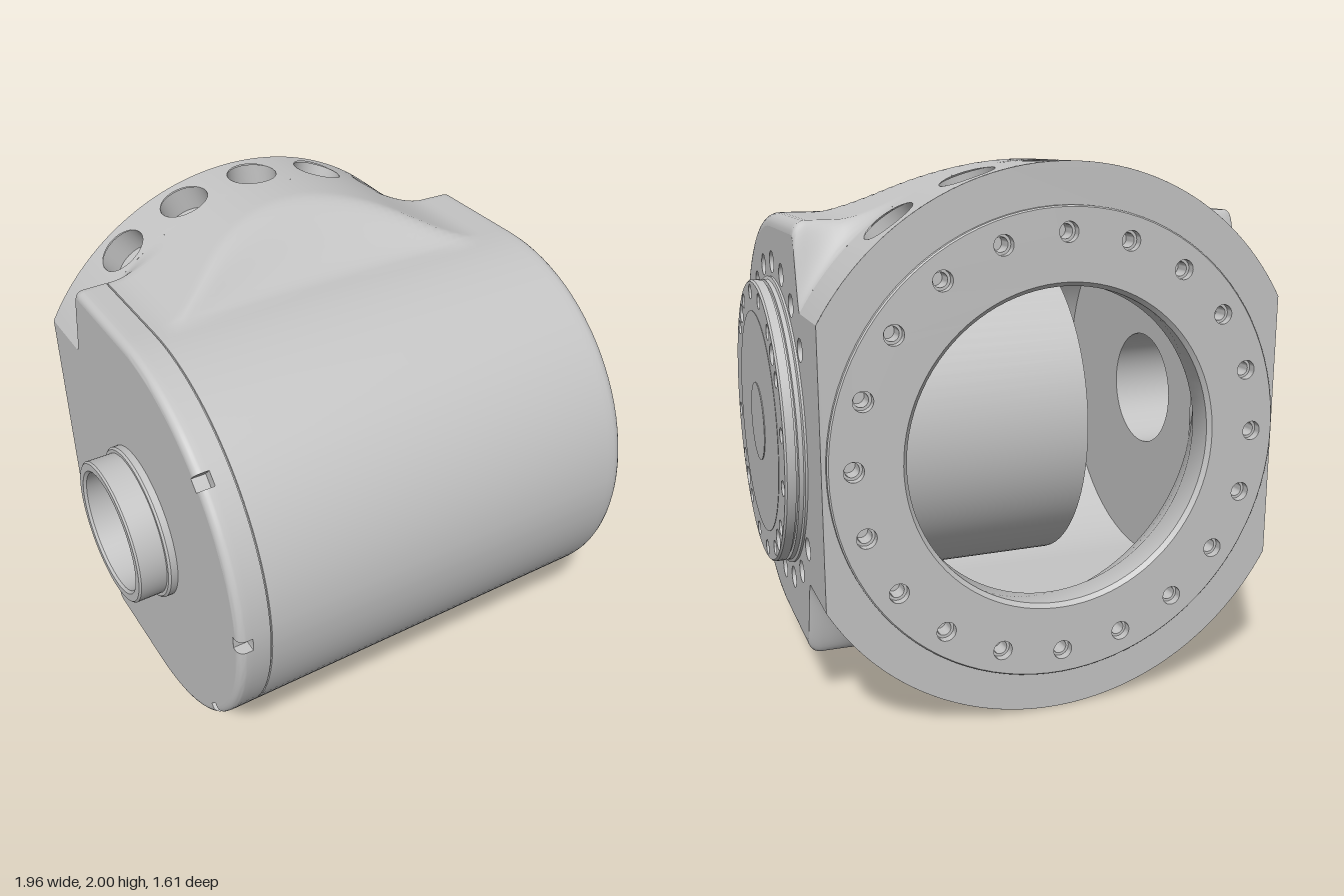
import * as THREE from 'three';
import { toCreasedNormals } from 'three/addons/utils/BufferGeometryUtils.js';

const X0 = -0.835, X1 = 0.9, CX = 0.03, R = 0.8;   // housing ends, flange axis, barrel radius
const Z_DROP = -0.43, Z_FLANGE = -0.52, Z_HOLE = -0.642, Z_BACK = -0.785, Z_RING = -0.805;
const RAD = Math.PI / 180;

const smooth = t => { t = Math.min(1, Math.max(0, t)); return t * t * (3 - 2 * t); };
const circ = x => Math.sqrt(1 - (x - CX) ** 2);

// Surface from a grid of points, fn(i, j) -> [x, y, z]
function grid(ni, nj, fn, crease = 0.6) {
  const pos = [], idx = [];
  for (let i = 0; i <= ni; i++) for (let j = 0; j <= nj; j++) pos.push(...fn(i, j));
  for (let i = 0; i < ni; i++) for (let j = 0; j < nj; j++) {
    const a = i * (nj + 1) + j, b = a + nj + 1;
    idx.push(a, b, a + 1, b, b + 1, a + 1);
  }
  const g = new THREE.BufferGeometry();
  g.setAttribute('position', new THREE.Float32BufferAttribute(pos, 3));
  g.setIndex(idx);
  return toCreasedNormals(g, crease);
}

// Turned part from [radius, height] points, axis along y
const lathe = (pts, seg = 96) =>
  toCreasedNormals(new THREE.LatheGeometry(pts.map(p => new THREE.Vector2(...p)), seg), 0.6);

// Counterbored hole lining, its mouth at height 0
const socket = (r, d, r2, d2) => lathe([[r, 0], [r, -d], [r2, -d], [r2, -d2], [0, -d2]], 24);

// Circle as [x, y] points
function ringPts(r, cx = 0, cy = 0) {
  const n = r > 0.2 ? 96 : 24;
  return Array.from({ length: n }, (_, i) =>
    [cx + r * Math.cos(i / n * Math.PI * 2), cy + r * Math.sin(i / n * Math.PI * 2)]);
}

// Flat face from [x, y] points with round holes [x, y, r]
function plate(pts, holes) {
  const vec = list => list.map(p => new THREE.Vector2(...p));
  const s = new THREE.Shape(vec(pts));
  for (const [x, y, r] of holes) s.holes.push(new THREE.Path(vec(ringPts(r, x, y))));
  return new THREE.ShapeGeometry(s);
}

// Half height of the housing behind the barrel axis: filleted hump ramp, then a drop to the round flange
function halfHeight(x, z, inset) {
  const b = R - inset, c = circ(x), k = 0.1;
  const m = Math.max(b, c) + Math.max(k - Math.abs(c - b), 0) ** 2 / (4 * k);
  const ramp = b + (m - b) * smooth(-z / Math.max(0.03, 0.37 * (m - b) / 0.2));
  return ramp + (c - ramp) * smooth((Z_DROP - z) / (Z_DROP - Z_FLANGE));
}

// Sample positions: z along the flat, angles round the barrel (with notch edges)
const zs = [];
for (let i = 0; i < 14; i++) zs.push(Z_FLANGE + (Z_DROP - Z_FLANGE) * i / 14);
for (let i = 0; i < 18; i++) zs.push(Z_DROP * (1 - i / 18));
const angles = [];
for (let i = 0; i <= 48; i++) angles.push(90 - i * 3.75);
for (const n of [45, 0, -45]) angles.push(n - 1.95, n - 1.9, n + 1.9, n + 1.95);
angles.sort((a, b) => b - a);

// Housing cross-section as [z, y] points, open at the back
function outline(x, inset) {
  const top = zs.map(z => [z, halfHeight(x, z, inset)]);
  const nose = angles.map(a => {
    const notch = x < -0.7807 && [45, 0, -45].some(n => Math.abs(a - n) < 1.92);
    const r = R - (notch ? 0.045 : inset);
    return [r * Math.cos(a * RAD), r * Math.sin(a * RAD)];
  });
  return [...top, ...nose, ...top.map(([z, y]) => [z, -y]).reverse()];
}

// Stations along x: rounded end, notch step, seam groove, barrel, rounded end
function stations() {
  const s = [], f = (r, i) => [r * (1 - Math.cos(i * Math.PI / 12)), r * (1 - Math.sin(i * Math.PI / 12))];
  for (let i = 0; i <= 6; i++) { const [d, n] = f(0.03, i); s.push([X0 + d, n]); }
  s.push([-0.781, 0], [-0.7805, 0], [-0.712, 0], [-0.711, 0.006], [-0.707, 0.006], [-0.706, 0]);
  for (let i = 0; i <= 48; i++) s.push([-0.68 + 1.5 * i / 48, 0]);
  for (let i = 6; i >= 0; i--) { const [d, n] = f(0.05, i); s.push([X1 - d, n]); }
  return s;
}

export function createModel() {
  const metal = new THREE.MeshStandardMaterial({ color: 0xc4c4c4, side: THREE.DoubleSide });
  metal.name = 'grey metal';
  const root = new THREE.Group();
  root.name = 'actuatorHousing';
  const model = new THREE.Group();
  model.name = 'housingAssembly';
  model.position.y = 1;
  root.add(model);
  const add = (name, geo, x = 0, y = 0, z = 0) => {
    const m = new THREE.Mesh(geo, metal);
    m.name = name;
    m.position.set(x, y, z);
    model.add(m);
    return m;
  };
  const alongX = g => g.rotateZ(-Math.PI / 2);
  const alongBack = g => g.rotateX(-Math.PI / 2);
  const faceX = g => g.rotateY(Math.PI / 2);       // local x becomes -z

  // Barrel body
  const st = stations(), loops = st.map(s => outline(...s));
  add('housingShell', grid(st.length - 1, loops[0].length - 1, (i, j) =>
    [st[i][0], loops[i][j][1], loops[i][j][0]], 0.8));

  // End faces
  const endPts = (loop, x) => [[-Z_BACK, circ(x)], ...loop.map(([z, y]) => [-z, y]), [-Z_BACK, -circ(x)]];
  const bolts = [];
  for (let k = 2; k < 19; k++)
    bolts.push([0.617 * Math.cos(k * 18 * RAD), 0.617 * Math.sin(k * 18 * RAD), 0.042]);
  add('discEndFace', faceX(plate(endPts(loops.at(-1), X1), bolts)), X1);
  const boltSocket = alongX(socket(0.042, 0.025, 0.026, 0.08));
  for (const [a, y] of bolts) add('endBoltHole', boltSocket, X1, y, -a);
  add('tubeEndFace', faceX(plate(endPts(loops[0], X0), [[0, 0, 0.24]])), X0);

  // Round flange: patches around radial holes, plain patches beside them
  const hw = 9 * RAD, zc = (Z_BACK + Z_FLANGE) / 2, hz = (Z_FLANGE - Z_BACK) / 2;
  const radial = socket(0.1, 0.1, 0.055, 0.2);
  for (const s of [1, -1]) {
    const bend = (a, z) => [CX + Math.sin(a), s * Math.cos(a), z];
    for (let k = -2; k <= 2; k++) {
      const mid = k * 18 * RAD;
      add('flangePatch', grid(4, 40, (i, j) => {
        const c = Math.cos(j * Math.PI / 20), n = Math.sin(j * Math.PI / 20);
        const m = Math.max(Math.abs(c), Math.abs(n)), t = i / 4;
        return bend(mid + (1 - t) * 0.1 * c + t * hw * c / m,
          (1 - t) * (Z_HOLE + 0.1 * n) + t * (zc + hz * n / m));
      }));
      const [x, y] = bend(mid, 0);
      const hole = add('flangeHole', radial, CX + (x - CX) * 0.996, y * 0.996, Z_HOLE);
      hole.rotation.z = s > 0 ? -mid : Math.PI + mid;
    }
    for (const [a, b] of [[Math.asin(X0 - CX), -45 * RAD], [45 * RAD, Math.asin(X1 - CX)]])
      add('flangeSide', grid(8, 1, (i, j) => bend(a + (b - a) * i / 8, j ? Z_FLANGE : Z_BACK)));
  }

  // Back of the flange, clipped to the housing width
  const arc = [], aL = Math.asin(X0 - CX), aR = Math.asin(X1 - CX);
  for (let i = 0; i <= 40; i++) {
    const a = aL + (aR - aL) * i / 40;
    arc.push([CX + Math.sin(a), Math.cos(a)]);
  }
  const back = [...arc, ...arc.map(([x, y]) => [x, -y]).reverse()];
  add('flangeBack', plate(back, [[CX, 0, 0.855]]), 0, 0, Z_BACK);

  // Mounting ring with bolt holes, and the bore opening out into the cavity
  const ringBolts = [];
  for (let k = 0; k < 20; k++)
    ringBolts.push([CX + 0.765 * Math.cos(k * 18 * RAD), 0.765 * Math.sin(k * 18 * RAD), 0.036]);
  add('mountingRing', plate(ringPts(0.85, CX), [[CX, 0, 0.595], ...ringBolts]), 0, 0, Z_RING);
  add('mountingRingEdge', alongBack(lathe([[0.855, 0.78], [0.855, 0.8], [0.85, 0.805]])), CX);
  add('bore', alongBack(lathe([[0.595, 0.805], [0.58, 0.79], [0.58, 0.69], [0.74, 0.42]])), CX);
  const ringSocket = alongBack(socket(0.036, 0.03, 0.026, 0.09));
  for (const [x, y] of ringBolts) add('ringBoltHole', ringSocket, x, y, Z_RING);

  // Hollow interior and the drum in it
  const cavity = [[-0.42, 0.74]];
  for (let i = 0; i <= 32; i++)
    cavity.push([0.74 * Math.sin(i * Math.PI / 32), 0.74 * Math.cos(i * Math.PI / 32)]);
  cavity.push([-0.42, -0.74]);
  add('cavityWall', grid(1, cavity.length - 1, (i, j) => [i ? 0.82 : -0.7, cavity[j][1], cavity[j][0]]));
  const cavityEnd = cavity.map(([z, y]) => [-z, y]);
  add('cavityEndTubeSide', faceX(plate(cavityEnd, [[0, 0, 0.24]])), -0.7);
  add('cavityEndDiscSide', faceX(plate(cavityEnd, [])), 0.82);
  add('innerDrum', alongX(lathe([[0, -0.14], [0.63, -0.14], [0.63, 0.7]])));

  // Hollow shaft tube with collar
  add('shaftTube', alongX(lathe([[0.24, -0.7], [0.24, -0.97], [0.25, -0.98], [0.28, -0.98], [0.287, -0.973],
    [0.287, -0.87], [0.3, -0.87], [0.308, -0.862], [0.308, X0]])));

  // Output disc with its grooved rim, holes and centre cap
  add('outputDiscRim', alongX(lathe([[0.56, X1], [0.56, 0.908], [0.548, 0.912], [0.548, 0.928], [0.535, 0.93],
    [0.535, 0.936], [0.548, 0.938], [0.548, 0.97], [0.541, 0.977]])));
  const discHoles = [];
  for (let k = 1; k < 16; k++) discHoles.push([(15 + k * 22.5) * RAD, 0.503, 0.029]);
  for (let k = 0; k < 4; k++) discHoles.push([(48.6 + k * 90) * RAD, 0.5, 0.039]);
  const at = discHoles.map(([a, d, r]) => [-d * Math.cos(a), d * Math.sin(a), r]);
  add('outputDiscFace', faceX(plate(ringPts(0.541), at)), 0.977);
  for (const [a, y, r] of at) add('discHole', alongX(socket(r, 0.02, r * 0.6, 0.022)), 0.977, y, -a);
  add('discInnerPlate', alongX(lathe([[0.43, 0.976], [0.43, 0.9785], [0, 0.9785]])));
  add('discCentreCap', alongX(lathe([[0.152, 0.977], [0.152, 0.982], [0, 0.982]])));

  return root;
}
